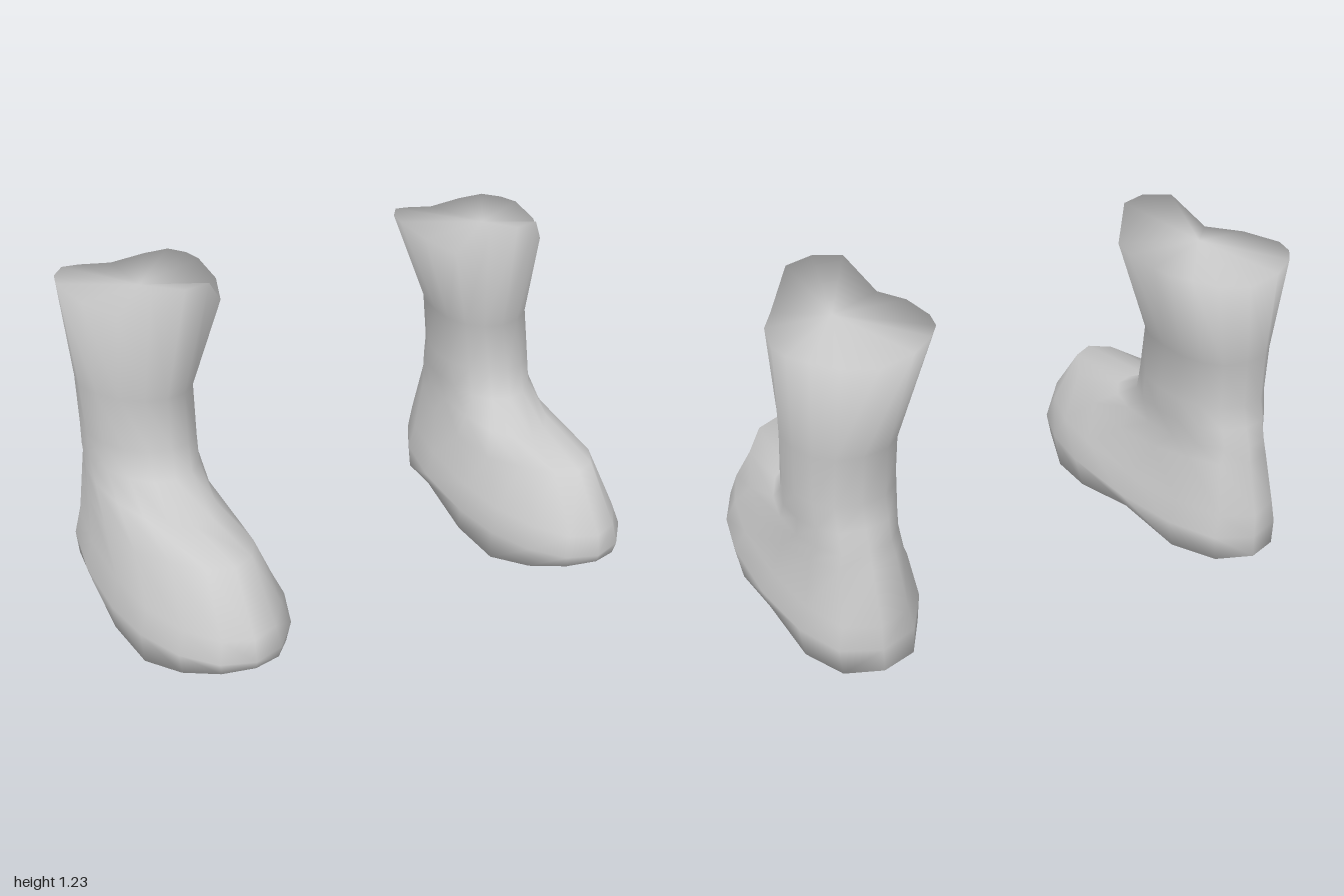
import * as THREE from 'three';

const N = 16; // points around each cross-section, starting at the toe

// Rings from sole to rim: y at back, y at front, z back, z widest, z front, x inner, x outer, x of toe, x of heel
const RINGS = [
  [0.00, 0.00, -0.65, 0.10, 0.65, 0.44, 0.985, 0.69, 0.74],
  [0.12, 0.13, -0.645, 0.13, 0.66, 0.42, 1.00, 0.69, 0.74],
  [0.21, 0.21, -0.64, 0.10, 0.65, 0.46, 0.965, 0.69, 0.74],
  [0.40, 0.41, -0.58, -0.05, 0.51, 0.515, 0.945, 0.69, 0.74],
  [0.46, 0.405, -0.565, -0.20, 0.20, 0.545, 0.92, 0.70, 0.74],
  [0.53, 0.50, -0.54, -0.25, 0.03, 0.545, 0.92, 0.70, 0.74],
  [0.61, 0.61, -0.515, -0.26, 0.005, 0.54, 0.92, 0.70, 0.74],
  [0.79, 0.79, -0.525, -0.28, -0.03, 0.54, 0.925, 0.69, 0.73],
  [1.15, 1.15, -0.57, -0.36, 0.09, 0.42, 0.95, 0.65, 0.68],
];

// Heights from front to back for the arched sole edge, the rounded toe top and the dipped rim
const HEIGHTS = {
  0: [0.1, 0.085, 0.045, 0, 0.02, 0.075, 0.022, 0.03, 0.04],
  3: [0.41, 0.405, 0.385, 0.345, 0.34, 0.36, 0.39, 0.4, 0.4],
  8: [1.23, 1.225, 1.115, 1.135, 1.15, 1.15, 1.15, 1.13, 1.11],
};

function ringPoints([yB, yF, zB, zW, zF, xI, xO, xF, xB], heights) {
  const points = [];
  const cx = (xI + xO) / 2;
  for (let i = 0; i < N; i++) {
    const t = (i / N) * Math.PI * 2;
    const c = Math.cos(t), s = Math.sin(t);
    const end = c > 0 ? xF : xB;
    // The back is a little squarer than the front
    const across = Math.sign(s) * Math.abs(s) ** (c > 0 ? 1 : 0.8);
    points.push([
      cx + across * (xO - xI) / 2 + (end - cx) * Math.abs(c),
      heights ? heights[Math.min(i, N - i)] : yB + (yF - yB) * (c + 1) / 2,
      zW + c * (c > 0 ? zF - zW : zW - zB),
    ]);
  }
  return points;
}

// side = 1 or -1 mirrors the points and keeps the faces outward
function makeMesh(name, points, faces, side) {
  const geometry = new THREE.BufferGeometry();
  const flat = points.flatMap(([x, y, z]) => [x * side, y, z]);
  geometry.setAttribute('position', new THREE.Float32BufferAttribute(flat, 3));
  geometry.setIndex(faces.flatMap(([a, b, c]) => (side > 0 ? [a, b, c] : [a, c, b])));
  geometry.computeVertexNormals();
  const mesh = new THREE.Mesh(geometry, new THREE.MeshStandardMaterial({ color: 0xcccccc }));
  mesh.name = name;
  return mesh;
}

// One continuous smooth skin: sole, foot, shaft and closed top
function createBoot(name, side) {
  const last = RINGS.length - 1;
  const points = RINGS.flatMap((ring, k) => ringPoints(ring, HEIGHTS[k]));
  const topCentre = points.push([0.7, 1.15, -0.22]) - 1;
  const faces = [];

  // Foot and shaft
  for (let r = 0; r < last; r++) {
    for (let i = 0; i < N; i++) {
      const a = r * N + i, b = r * N + (i + 1) % N;
      faces.push([a, b, b + N], [a, b + N, a + N]);
    }
  }

  // Arched sole in strips running across the foot
  for (let i = 0; i < N / 2; i++) {
    const b = (N - i) % N, b2 = N - i - 1;
    if (i > 0) faces.push([i, b, i + 1]);
    if (b2 !== i + 1) faces.push([b, b2, i + 1]);
  }

  // Top closing the shaft, ridged towards the raised front
  for (let i = 0; i < N; i++) {
    faces.push([topCentre, last * N + i, last * N + (i + 1) % N]);
  }
  return makeMesh(name, points, faces, side);
}

export function createModel() {
  const group = new THREE.Group();
  group.name = 'boots';
  group.add(createBoot('leftBoot', 1), createBoot('rightBoot', -1));
  return group;
}
